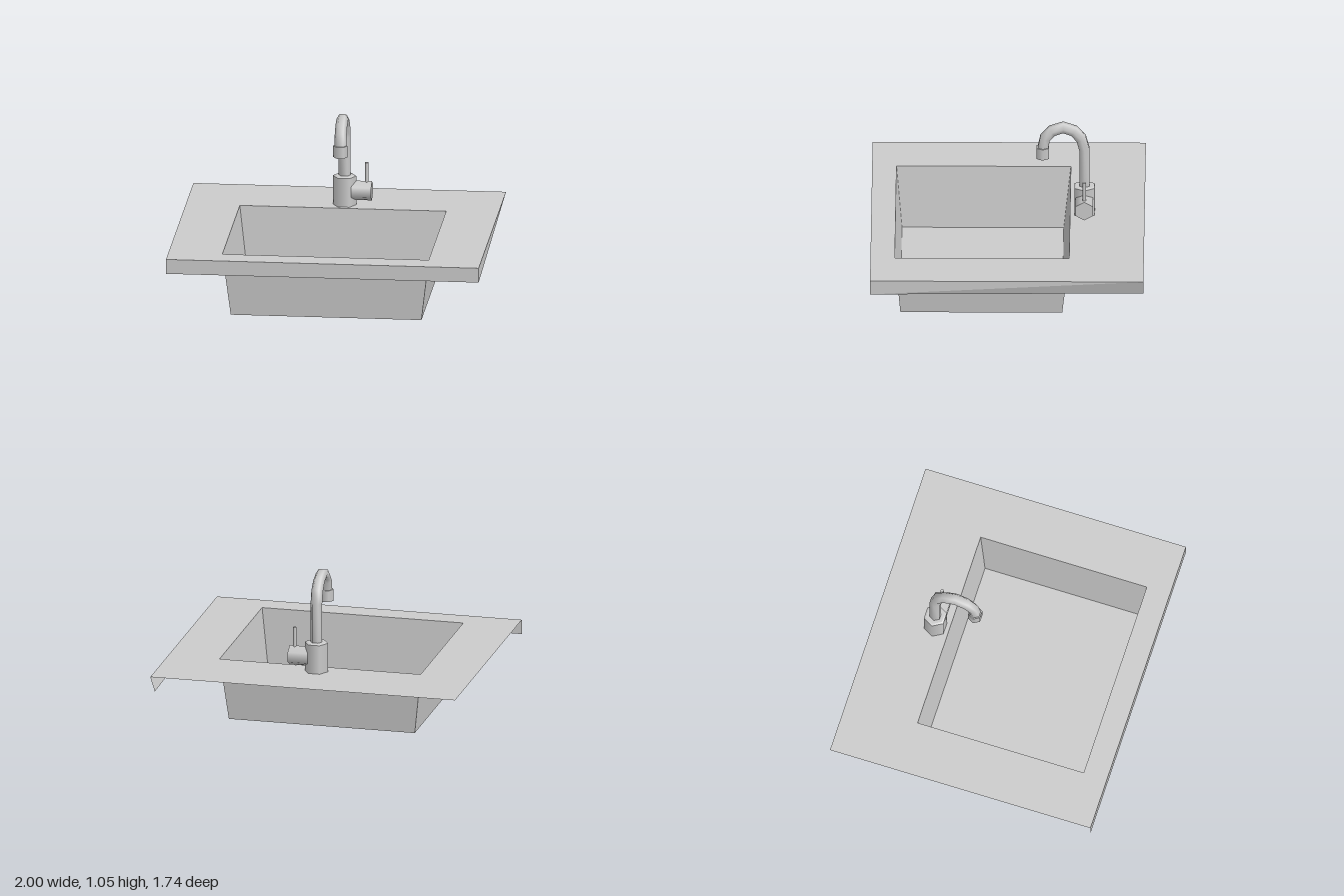
import * as THREE from 'three';

const solid = new THREE.MeshStandardMaterial({ color: 0xcccccc });
const sheet = new THREE.MeshStandardMaterial({ color: 0xcccccc, side: THREE.DoubleSide });

// Joins lists of four corners (counter-clockwise from outside) into flat panels
function panels(quads) {
  const pos = quads.flatMap(([a, b, c, d]) => [a, b, c, a, c, d].flat());
  const g = new THREE.BufferGeometry();
  g.setAttribute('position', new THREE.Float32BufferAttribute(pos, 3));
  g.computeVertexNormals();
  return g;
}

// Hexagonal cylinder with corners on +-x
function hexCylinder(rTop, rBottom, height) {
  return new THREE.CylinderGeometry(rTop, rBottom, height, 6).rotateY(Math.PI / 6);
}

// Hexagonal pipe swept along [z, y] points
function hexPipe(path, r) {
  const pos = [], index = [];
  path.forEach(([z, y], i) => {
    const a = path[Math.max(i - 1, 0)], b = path[Math.min(i + 1, path.length - 1)];
    const t = new THREE.Vector2(b[0] - a[0], b[1] - a[1]).normalize();
    for (let k = 0; k < 6; k++) {
      const ang = k * Math.PI / 3, s = r * Math.sin(ang);
      pos.push(r * Math.cos(ang), y - t.x * s, z + t.y * s);
      if (i === 0) continue;
      const n = (k + 1) % 6, p = (i - 1) * 6, q = i * 6;
      index.push(p + k, q + k, q + n, p + k, q + n, p + n);
    }
  });
  const g = new THREE.BufferGeometry();
  g.setAttribute('position', new THREE.Float32BufferAttribute(pos, 3));
  g.setIndex(index);
  g.computeVertexNormals();
  return g;
}

export function createModel() {
  const model = new THREE.Group();
  const add = (parent, name, geometry, material, x = 0, y = 0, z = 0) => {
    const mesh = new THREE.Mesh(geometry, material);
    mesh.name = name;
    mesh.position.set(x, y, z);
    parent.add(mesh);
  };

  const TOP = 0.41, LOW = 0.315, D = 0.87;
  // Rim and floor corners of the basin, running round from the front right
  const ring = (x0, x1, z0, z1, y) => [[x0, y, z1], [x1, y, z1], [x1, y, z0], [x0, y, z0]];
  const rim = ring(-0.655, 0.665, -0.395, 0.715, TOP);
  const floor = ring(-0.605, 0.615, -0.35, 0.68, 0);

  // Countertop sheet with the basin opening
  const flat = (pts) => pts.map(([x, , z]) => new THREE.Vector2(x, -z));
  const top = new THREE.Shape(flat(ring(-1, 1, -D, D, TOP)));
  top.holes.push(new THREE.Path(flat(rim)));
  add(model, 'countertop', new THREE.ShapeGeometry(top).rotateX(-Math.PI / 2), sheet, 0, TOP, 0);

  // Aprons hang on the front and the +x side only
  add(model, 'countertopApron', panels([
    [[-1, LOW, D], [1, LOW, D], [1, TOP, D], [-1, TOP, D]],
    [[1, LOW, D], [0.97, LOW, -D], [1, TOP, -D], [1, TOP, D]],
  ]), sheet);

  // Tapered basin, open at the top
  const walls = rim.map((p, i) => {
    const n = (i + 1) % 4;
    return [floor[i], floor[n], rim[n], p];
  });
  add(model, 'basin', panels([...walls, [...floor].reverse()]), sheet);

  // Tap
  const tap = new THREE.Group();
  tap.name = 'tap';
  tap.position.set(0.006, 0, -0.487);
  model.add(tap);
  add(tap, 'tapBody', hexCylinder(0.075, 0.075, 0.19), solid, 0, 0.505, 0);
  add(tap, 'tapBodyShoulder', hexCylinder(0.062, 0.075, 0.006), solid, 0, 0.603, 0);
  add(tap, 'handleHub', hexCylinder(0.064, 0.064, 0.13).rotateZ(-Math.PI / 2), solid, 0.11, 0.505, 0);
  add(tap, 'handleLever', new THREE.CylinderGeometry(0.011, 0.011, 0.16, 10), solid, 0.142, 0.612, 0);

  // Gooseneck and nozzle
  const neck = [[0, 0.59], [0, 0.86], [0.02, 0.937], [0.067, 0.99], [0.135, 1.015],
    [0.207, 0.99], [0.251, 0.94], [0.266, 0.865]];
  add(tap, 'gooseneck', hexPipe(neck, 0.038), sheet);
  add(tap, 'nozzle', hexCylinder(0.046, 0.046, 0.075), solid, 0, 0.838, 0.266);

  return model;
}
